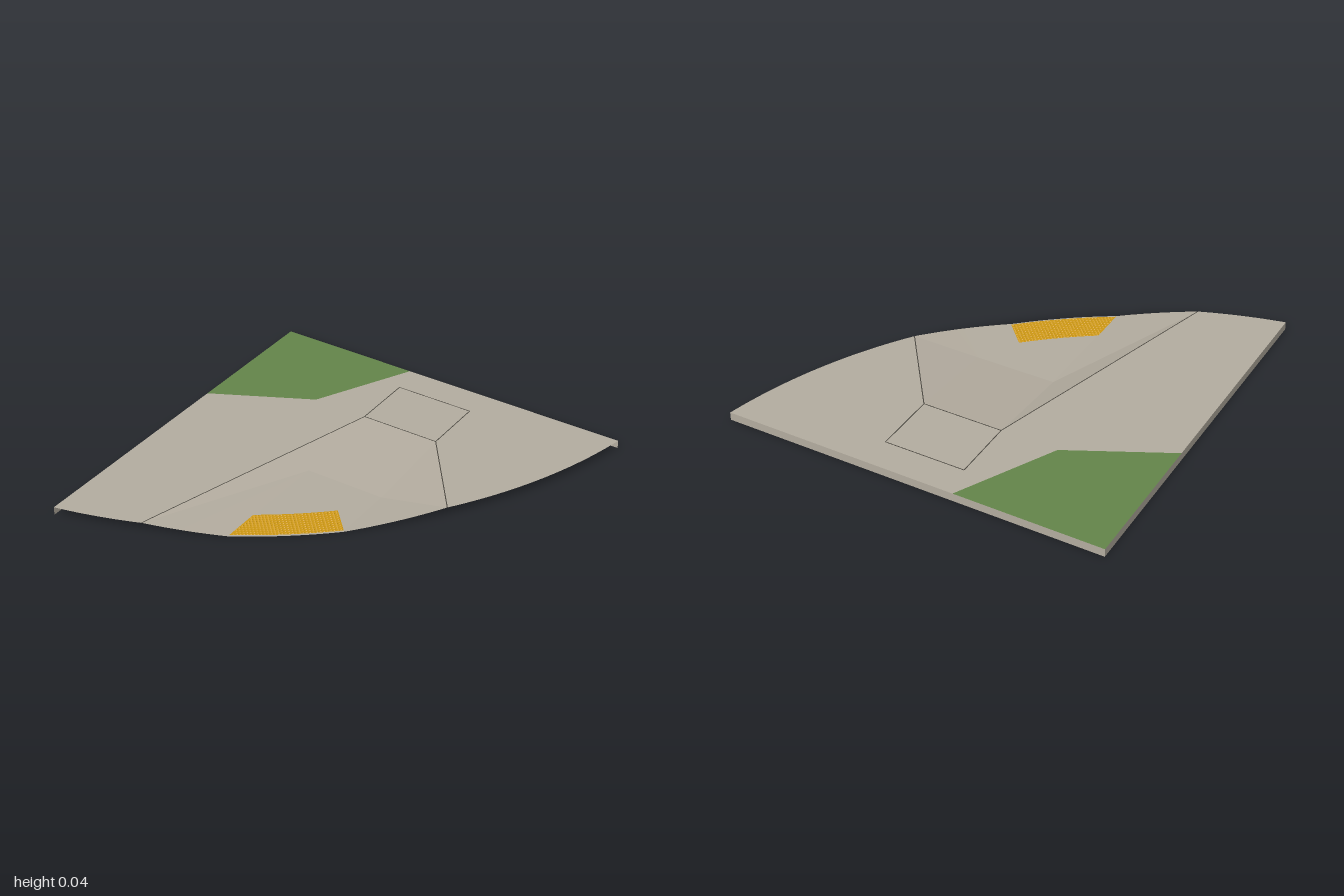
import * as THREE from 'three';
import { mergeGeometries } from 'three/addons/utils/BufferGeometryUtils.js';

const H = 0.043;                 // kerb height
const C = -1.527, R = 2.581;     // centre (x = z = C) and radius of the kerb arc

function mat(name, color) {
  const m = new THREE.MeshStandardMaterial({ color, side: THREE.DoubleSide });
  m.name = name;
  return m;
}

const angleOf = (x, z) => Math.atan2(z - C, x - C);

// Points [x, y, z] along the kerb arc, height running evenly from y0 to y1
function arc(a0, a1, y0, y1, n = 16, r = R) {
  return Array.from({ length: n + 1 }, (_, i) => {
    const t = i / n, a = a0 + (a1 - a0) * t;
    return [C + r * Math.cos(a), y0 + (y1 - y0) * t, C + r * Math.sin(a)];
  });
}

// Level sheet with an outline of [x, y, z] points
function sheet(points, y) {
  const shape = new THREE.Shape(points.map(p => new THREE.Vector2(p[0], -p[2])));
  return new THREE.ShapeGeometry(shape).rotateX(-Math.PI / 2).translate(0, y, 0);
}

// Faceted fan around the first point, always facing up
function fan(points) {
  const pos = [];
  for (let i = 1; i < points.length - 1; i++) {
    const [a, b, c] = [points[0], points[i], points[i + 1]];
    const up = (b[2] - a[2]) * (c[0] - a[0]) - (b[0] - a[0]) * (c[2] - a[2]);
    pos.push(...a, ...(up > 0 ? [...b, ...c] : [...c, ...b]));
  }
  const g = new THREE.BufferGeometry();
  g.setAttribute('position', new THREE.Float32BufferAttribute(pos, 3));
  g.computeVertexNormals();
  return g;
}

export function createModel() {
  const group = new THREE.Group();
  const concrete = mat('concrete', 0xb4ada0);
  const grass = mat('grass', 0x64864a);
  const yellow = mat('warning yellow', 0xd09a14);
  const joint = mat('joint grey', 0x4a4740);

  const add = (name, geometry, material) => {
    const mesh = new THREE.Mesh(geometry, material);
    mesh.name = name;
    group.add(mesh);
  };

  // Key corners of the ramp
  const topL = [-0.19, H, -0.49], topR = [0.235, H, -0.49];
  const footL = [-0.19, 0, 0.02], footR = [0.235, 0, 0.02];
  const aEndR = angleOf(1, -1), aFlareR = angleOf(0.575, -0.03), aLandR = angleOf(0.235, 0.36);
  const aLandL = angleOf(-0.2, 0.685), aFlareL = angleOf(-0.57, 0.87), aEndL = angleOf(-1, 1);
  const flareR = arc(aFlareR, aLandR, H, 0);
  const flareL = arc(aLandL, aFlareL, 0, H);

  // Pavement around the ramp
  const lawnEdge = [[-1, H, -0.23], [-0.49, H, -0.49], [-0.23, H, -1]];
  add('pavement', sheet([
    ...lawnEdge, ...arc(aEndR, aFlareR, H, H, 24), topR, topL, ...arc(aFlareL, aEndL, H, H, 12),
  ], H), concrete);
  add('lawn', sheet([[-1, H, -1], ...lawnEdge], H), grass);

  // Ramp, landing and side flares
  add('ramp', fan([topL, topR, footR, footL]), concrete);
  add('landing', fan([footL, footR, ...arc(aLandR, aLandL, 0, 0)]), concrete);
  add('leftUpperFlare', fan([topR, flareR[0], footR]), concrete);
  add('leftLowerFlare', fan([footR, ...flareR]), concrete);
  add('rightUpperFlare', fan([topL, footL, flareL[16]]), concrete);
  add('rightLowerFlare', fan([footL, ...flareL]), concrete);

  // Straight outer walls
  add('backWall', new THREE.PlaneGeometry(2, H).rotateY(Math.PI).translate(0, H / 2, -1), concrete);
  add('sideWall', new THREE.PlaneGeometry(2, H).rotateY(-Math.PI / 2).translate(-1, H / 2, 0), concrete);

  // Thin dark joints around the upper landing and along the flares
  const backL = [-0.19, H, -0.83], backR = [0.235, H, -0.83];
  const lines = [[topL, topR], [topR, backR], [backR, backL], [backL, topL], [topL, flareL[16]], [topR, flareR[0]]];
  add('joints', mergeGeometries(lines.map(([a, b]) => {
    const dx = b[0] - a[0], dz = b[2] - a[2];
    return new THREE.PlaneGeometry(Math.hypot(dx, dz), 0.005).rotateX(-Math.PI / 2)
      .rotateY(Math.atan2(-dz, dx)).translate((a[0] + b[0]) / 2, H + 0.0008, (a[2] + b[2]) / 2);
  })), joint);

  // Tactile pad following the kerb, cut straight on its right side
  const rIn = 2.407, rOut = 2.572, padY = 0.002;
  const cut = r => Math.acos((-0.2 - C) / r);
  const aPad = angleOf(0.12, 0.23);
  add('tactilePad', sheet([
    ...arc(aPad, cut(rIn), 0, 0, 12, rIn), ...arc(cut(rOut), aPad, 0, 0, 12, rOut),
  ], padY), yellow);

  // Rows of low truncated domes
  const domes = [], pitch = 0.0165;
  for (let r = rIn + pitch / 2; r < rOut; r += pitch) {
    for (let a = aPad + pitch / 2 / r; a < cut(r) - 0.002; a += pitch / r) {
      domes.push(new THREE.CylinderGeometry(0.003, 0.006, 0.003, 8, 1)
        .translate(C + r * Math.cos(a), padY + 0.0015, C + r * Math.sin(a)));
    }
  }
  add('tactileDomes', mergeGeometries(domes), yellow);

  return group;
}
